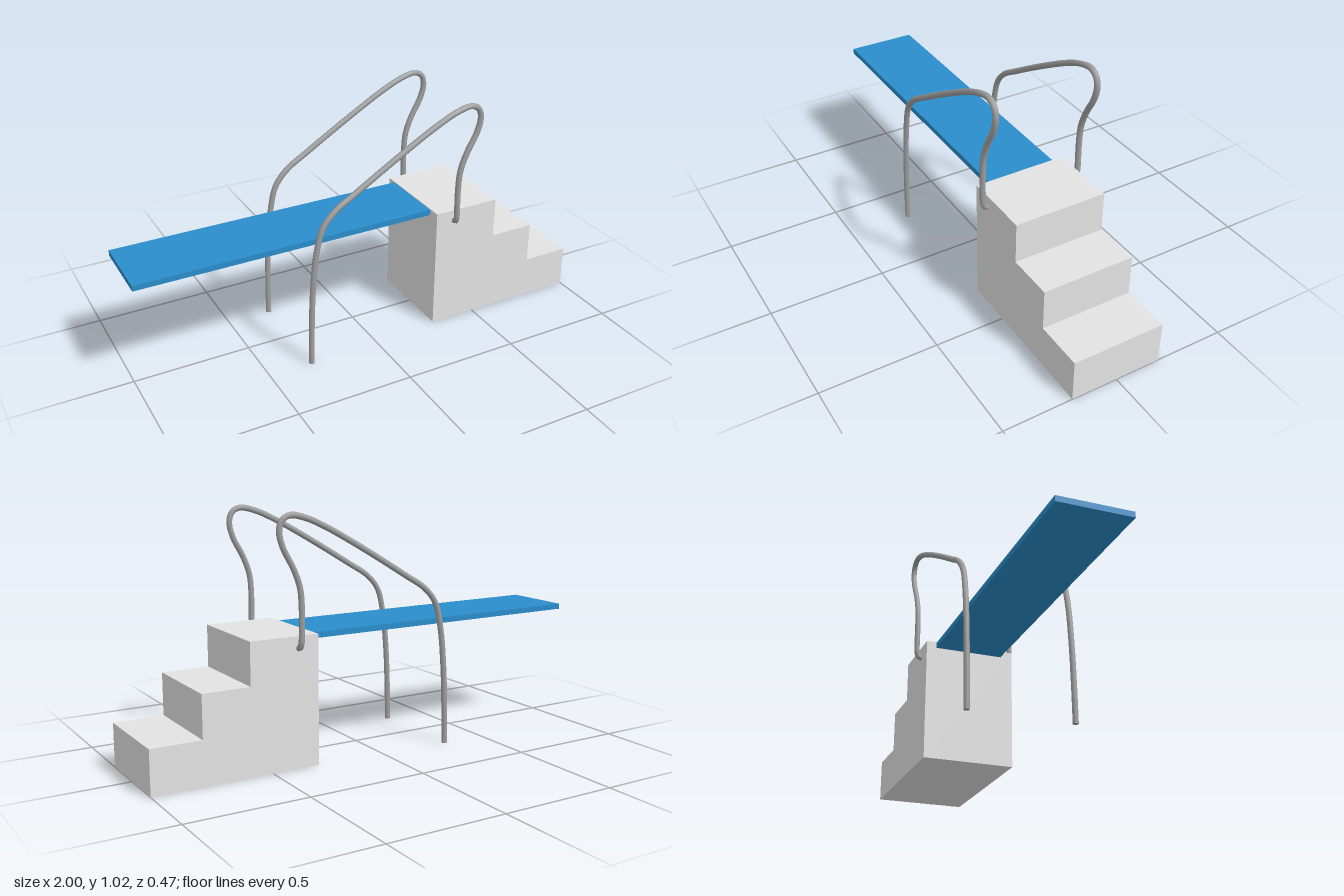
import * as THREE from 'three';

const concrete = new THREE.MeshStandardMaterial({ color: 0xe3e3e3 });
concrete.name = 'concrete grey';
const blue = new THREE.MeshStandardMaterial({ color: 0x2a8dcb });
blue.name = 'board blue';
const metal = new THREE.MeshStandardMaterial({ color: 0xa0a0a0 });
metal.name = 'rail metal';

const RADIUS = 0.0125;
const SIDES = 8;

// Bent handrail on one side: side = +1 (front) or -1 (back)
function makeRail(side) {
  const rail = new THREE.Group();
  const z = 0.221;
  const points = [
    [-0.309, 0, z], [-0.306, 0.15, z], [-0.297, 0.34, z], [-0.278, 0.51, z],
    [-0.249, 0.615, z], [-0.195, 0.678, z], [-0.1, 0.738, z], [0.1, 0.858, z],
    [0.27, 0.952, z], [0.36, 0.991, z], [0.425, 1.003, z], [0.459, 0.985, z],
    [0.471, 0.945, z], [0.457, 0.885, z], [0.412, 0.8, z], [0.385, 0.725, z],
    [0.378, 0.64, z], [0.379, 0.53, z], [0.38, 0.505, z - 0.002],
    [0.381, 0.49, z - 0.01], [0.381, 0.486, z - 0.025],
  ].map(([x, y, pz]) => new THREE.Vector3(x, y, pz * side));
  const path = new THREE.CatmullRomCurve3(points, false, 'centripetal');
  const tube = new THREE.Mesh(new THREE.TubeGeometry(path, 120, RADIUS, SIDES), metal);
  tube.name = 'railTube';
  const foot = new THREE.Mesh(new THREE.CircleGeometry(RADIUS, SIDES), metal);
  foot.name = 'railFoot';
  foot.rotation.x = Math.PI / 2;
  foot.position.copy(points[0]);
  rail.add(tube, foot);
  return rail;
}

export function createModel() {
  const model = new THREE.Group();
  model.name = 'divingBoard';

  // Stepped base, extruded across its width
  const profile = new THREE.Shape([
    [0.295, 0], [1, 0], [1, 0.183], [0.79, 0.183],
    [0.79, 0.36], [0.59, 0.36], [0.59, 0.535], [0.295, 0.535],
  ].map(([x, y]) => new THREE.Vector2(x, y)));
  const stepsGeometry = new THREE.ExtrudeGeometry(profile, { depth: 0.4, bevelEnabled: false });
  stepsGeometry.translate(0, 0, -0.2);
  const steps = new THREE.Mesh(stepsGeometry, concrete);
  steps.name = 'steps';

  // Flat springboard
  const board = new THREE.Mesh(new THREE.BoxGeometry(1.295, 0.024, 0.302), blue);
  board.name = 'board';
  board.position.set(-0.3525, 0.52, -0.005);

  model.add(steps, board);

  // Mirrored handrails
  for (const side of [1, -1]) {
    const rail = makeRail(side);
    rail.name = side > 0 ? 'frontRail' : 'backRail';
    model.add(rail);
  }
  return model;
}
